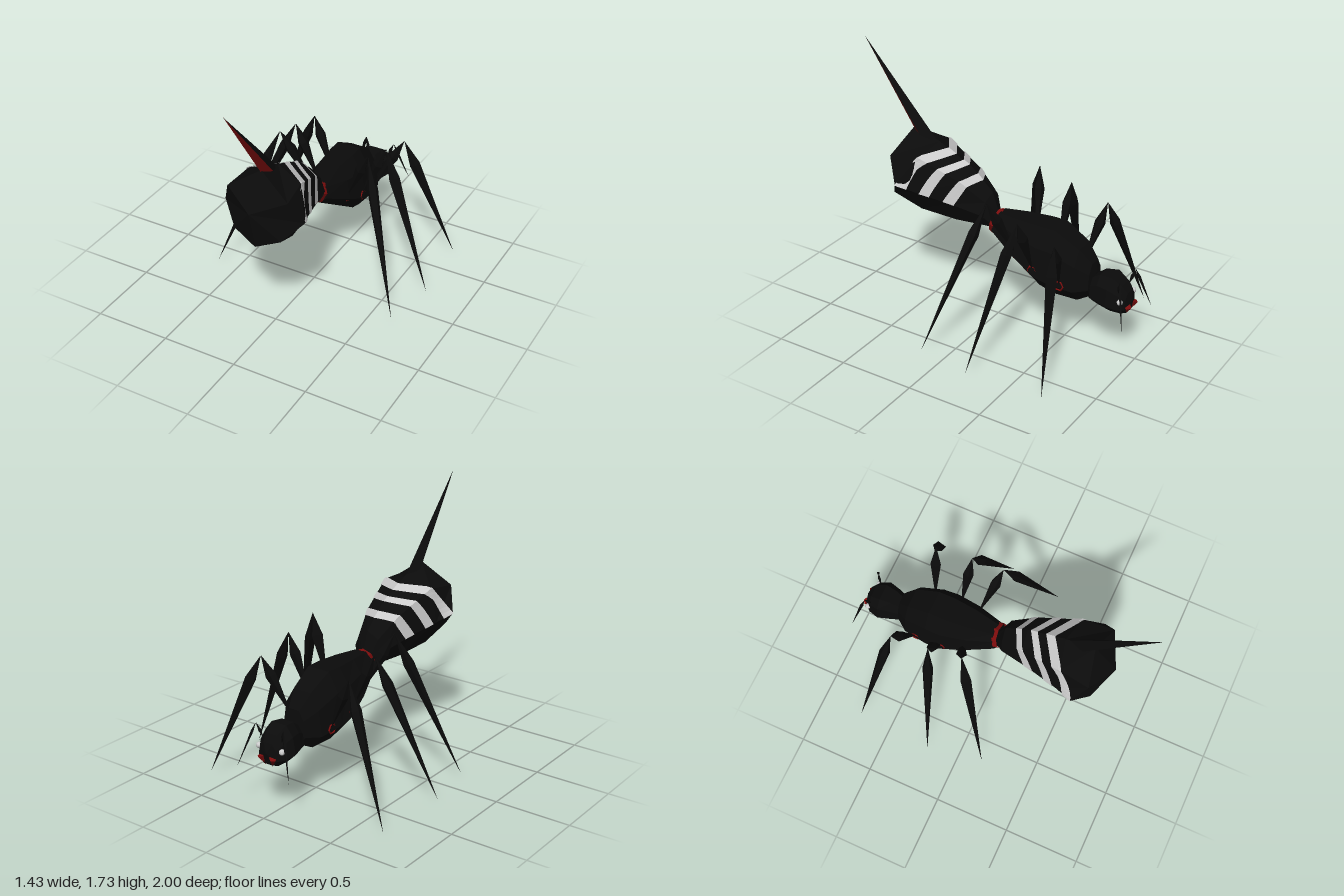
import * as THREE from 'three';

const material = (color, side = THREE.FrontSide) =>
  new THREE.MeshStandardMaterial({ color, flatShading: true, side });
const black = material(0x0b0b0b);
const red = material(0x7a0c0c, THREE.DoubleSide);
const pale = material(0xcccccc, THREE.DoubleSide);
const V = (x, y, z) => new THREE.Vector3(x, y, z);

function add(parent, name, geometry, mat) {
  const mesh = new THREE.Mesh(geometry, mat);
  mesh.name = name;
  parent.add(mesh);
  return mesh;
}

function facets(points) {
  const g = new THREE.BufferGeometry().setFromPoints(points);
  g.computeVertexNormals();
  return g;
}

// Complete a right-hand half section (top to bottom) by mirroring it
function ring(half) {
  const pts = half.map(p => V(...p));
  const mirrored = half.filter(p => p[0] > 0).reverse().map(p => V(-p[0], p[1], p[2]));
  return [...pts, ...mirrored];
}

// Skin over rings ordered along +z, closed with pointed caps
function loft(rings, start, end) {
  const tris = [], n = rings[0].length, last = rings[rings.length - 1];
  for (let j = 0; j < n; j++) {
    const k = (j + 1) % n;
    for (let i = 0; i + 1 < rings.length; i++) {
      const a = rings[i][j], b = rings[i][k], c = rings[i + 1][k], d = rings[i + 1][j];
      tris.push(a, d, c, a, c, b);
    }
    tris.push(start, rings[0][j], rings[0][k], end, last[k], last[j]);
  }
  return facets(tris);
}

// Eight-sided body section: z, top, bottom, half width
function bodyRing([z, top, bottom, w, lean = 0]) {
  const h = top - bottom;
  return ring([
    [w * 0.45, top, z - lean], [w * 0.85, top - h * 0.28, z - lean * 0.4],
    [w, bottom + h * 0.25, z + lean * 0.5], [w * 0.5, bottom, z + lean],
  ]);
}

// Spindle between two points, widest at a fraction of its length
function spindle(parent, name, from, to, radius, fraction, sides = 5) {
  const dir = to.clone().sub(from), length = dir.length();
  const profile = [[0, 0], [radius, length * fraction], [0, length]];
  const mesh = add(parent, name,
    new THREE.LatheGeometry(profile.map(p => new THREE.Vector2(...p)), sides), black);
  mesh.position.copy(from);
  mesh.quaternion.setFromUnitVectors(V(0, 1, 0), dir.normalize());
  return mesh;
}

// Abdomen sections: top, upper ridge, side ridge, lower ridge, bottom
const abdomen = [
  [[0, .74, -.01], [.04, .72, 0], [.06, .69, .01], [.04, .66, .02], [0, .65, .03]],
  [[0, .885, .04], [.075, .84, .05], [.11, .76, .06], [.06, .67, .07], [0, .64, .07]],
  [[0, 1.02, .19], [.12, .955, .2], [.16, .81, .26], [.09, .67, .26], [0, .62, .26]],
  [[0, 1.14, .44], [.18, 1.08, .48], [.225, .86, .48], [.13, .7, .5], [0, .665, .5]],
  [[0, 1.2, .63], [.205, 1.06, .68], [.275, .9, .6], [.16, .78, .69], [0, .71, .72]],
];

// Ring parameter at which a ridge reaches the given z
function ridgeParameter(ridge, z) {
  let i = 0;
  while (i < abdomen.length - 2 && abdomen[i + 1][ridge][2] < z) i++;
  const z0 = abdomen[i][ridge][2], z1 = abdomen[i + 1][ridge][2];
  return i + (z - z0) / (z1 - z0);
}

// Point just above the abdomen's skin, s across ridges and t along rings
function skinPoint(s, t, side) {
  const j = Math.min(Math.floor(s), 3), i = Math.min(Math.floor(t), 3);
  const on = k => V(...abdomen[i][k]).lerp(V(...abdomen[i + 1][k]), t - i);
  const p = on(j).lerp(on(j + 1), s - j);
  const axis = 0.75 + 0.2 * p.z;
  return V(side * p.x * 1.025, axis + (p.y - axis) * 1.025, p.z);
}

// Chevron stripe given its z range on the top, upper and side ridges
function stripe(ranges) {
  const tris = [], steps = 6, cuts = 4;
  for (const side of [1, -1]) {
    const at = (s, u) => {
      const k = Math.min(Math.floor(s), 1);
      const t = r => ridgeParameter(r, THREE.MathUtils.lerp(...ranges[r], u));
      return skinPoint(s, THREE.MathUtils.lerp(t(k), t(k + 1), s - k), side);
    };
    for (let i = 0; i < 2 * steps; i++) for (let j = 0; j < cuts; j++) {
      const s0 = i / steps, s1 = (i + 1) / steps, u0 = j / cuts, u1 = (j + 1) / cuts;
      const a = at(s0, u0), b = at(s1, u0), c = at(s1, u1), d = at(s0, u1);
      tris.push(...(side > 0 ? [a, d, c, a, c, b] : [a, c, d, a, b, c]));
    }
  }
  return facets(tris);
}

export function createModel() {
  const model = new THREE.Group();
  model.name = 'insect';

  // Abdomen with chevrons
  add(model, 'abdomen', loft(abdomen.map(ring), V(0, .69, 0), V(0, .975, .78)), black);
  [
    [[.31, .37], [.42, .49], [.53, .6]],
    [[.21, .255], [.3, .355], [.39, .455]],
    [[.11, .15], [.165, .215], [.235, .305]],
  ].forEach(r => add(model, 'abdomenStripe', stripe(r), pale));

  // Stinger: dark upper faces, red rear faces
  const tip = V(0, 1.74, 1), foot = V(0, 1.12, .44), heel = V(0, 1.19, .635);
  const l = V(.042, 1.17, .565), r = V(-.042, 1.17, .565);
  add(model, 'stingerTop', facets([foot, tip, l, foot, r, tip]), material(0x0b0b0b, THREE.DoubleSide));
  add(model, 'stingerUnderside', facets([heel, l, tip, heel, tip, r]), red);

  // Thorax and head
  add(model, 'thorax', loft([
    [-.7, .61, .39, .085], [-.62, .7, .35, .145], [-.46, .79, .355, .175],
    [-.36, .79, .385, .18], [-.2, .785, .49, .15], [-.01, .775, .625, .085, .02],
  ].map(bodyRing), V(0, .5, -.71), V(0, .7, 0)), black);
  add(model, 'head', loft([
    [-.945, .48, .345, .07], [-.91, .525, .335, .1], [-.84, .57, .34, .123],
    [-.76, .56, .35, .1], [-.705, .52, .36, .08],
  ].map(bodyRing), V(0, .42, -.965), V(0, .44, -.7)), black);

  // Waist band
  const band = add(model, 'waistBand', new THREE.CylinderGeometry(.08, .088, .03, 8, 1, true), red);
  band.position.set(0, .7, .003);
  band.rotation.x = Math.PI / 2 - 0.32;

  // Paired parts: hip, knee and foot of each leg
  const legs = [
    ['frontLeg', [.15, .465, -.535], [.335, .845, -.6], [.675, .01, -.725]],
    ['middleLeg', [.16, .52, -.35], [.33, .92, -.34], [.715, .02, -.21]],
    ['backLeg', [.125, .575, -.21], [.315, .985, -.115], [.645, .03, .16]],
  ];
  for (const side of [1, -1]) {
    const m = ([x, y, z]) => V(side * x, y, z);
    for (const [name, hip, knee, foot] of legs) {
      const leg = new THREE.Group();
      leg.name = name;
      model.add(leg);
      spindle(leg, 'upperLeg', m(hip), m(knee), .036, .68);
      spindle(leg, 'lowerLeg', m(knee), m(foot), .036, .2);
      const socket = add(leg, 'hipSocket', new THREE.TorusGeometry(.031, .006, 4, 6), red);
      socket.position.copy(m([hip[0] + .008, hip[1], hip[2]]));
      socket.rotation.y = side * (Math.PI / 2 + (name === 'backLeg' ? -.25 : 0));
    }
    const eye = add(model, 'eye', new THREE.SphereGeometry(.019, 10, 8), pale);
    eye.position.copy(m([.088, .437, -.922]));
    spindle(model, 'antennaBase', m([.07, .48, -.9]), m([.105, .58, -.925]), .012, .5, 4);
    spindle(model, 'antennaTip', m([.105, .58, -.925]), m([.2, .288, -1]), .011, .2, 4);
    const jaw = add(model, 'mandible', new THREE.ConeGeometry(.025, .07, 5), red);
    jaw.position.copy(m([.035, .365, -.945]));
    jaw.rotation.set(Math.PI - .3, 0, side * .3);
  }
  return model;
}
